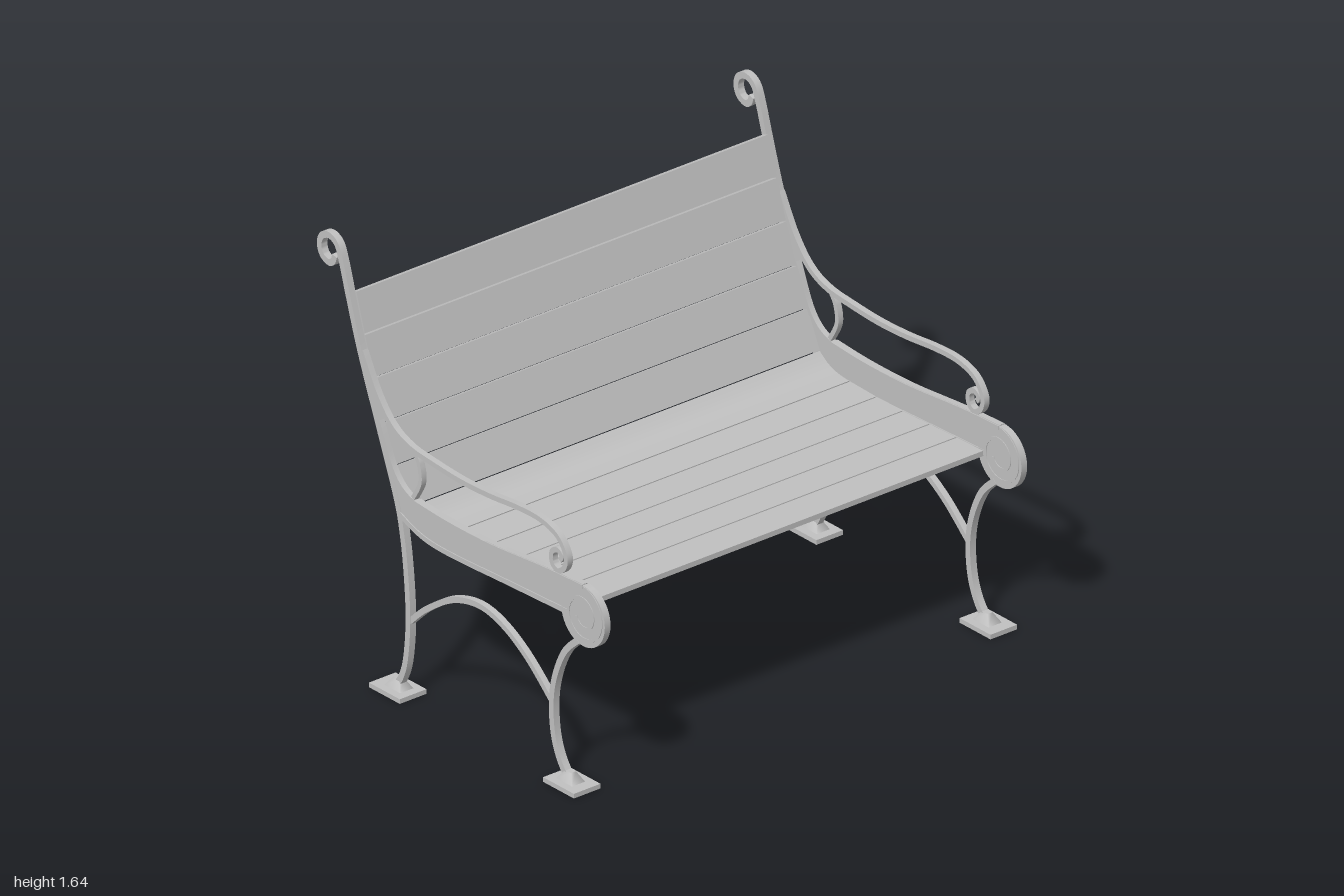
import * as THREE from 'three';
import { toCreasedNormals } from 'three/addons/utils/BufferGeometryUtils.js';

const metal = new THREE.MeshStandardMaterial({ color: 0xc0c0c0 });
metal.name = 'light grey';

const END_Z = 0.938; // middle plane of each end frame

function add(parent, name, geometry) {
  const mesh = new THREE.Mesh(geometry, metal);
  mesh.name = name;
  parent.add(mesh);
  return mesh;
}

function smooth(points, n) {
  return new THREE.SplineCurve(points.map(p => new THREE.Vector2(...p))).getPoints(n);
}

// Extrudes an outline along z, centred on z = 0
function plate(outline, depth) {
  const g = new THREE.ExtrudeGeometry(new THREE.Shape(outline), { depth, bevelEnabled: false });
  g.translate(0, 0, -depth / 2);
  return toCreasedNormals(g, 0.5);
}

// Flat bar of constant width following a path in the xy plane
function bar(path, width, depth) {
  const left = [], right = [];
  path.forEach((p, i) => {
    const a = path[Math.max(i - 1, 0)], b = path[Math.min(i + 1, path.length - 1)];
    const d = b.clone().sub(a).normalize().multiplyScalar(width / 2);
    left.push(new THREE.Vector2(p.x - d.y, p.y + d.x));
    right.push(new THREE.Vector2(p.x + d.y, p.y - d.x));
  });
  return plate([...left, ...right.reverse()], depth);
}

function endFrame() {
  const frame = new THREE.Group();

  // Back post with top scroll, running down into the rear leg
  add(frame, 'backPostAndRearLeg', bar(smooth([
    [-0.682, 1.562], [-0.69, 1.538], [-0.715, 1.525], [-0.75, 1.54], [-0.764, 1.577],
    [-0.75, 1.615], [-0.711, 1.63], [-0.67, 1.608], [-0.642, 1.54], [-0.608, 1.43],
    [-0.545, 1.24], [-0.45, 1.0], [-0.355, 0.76], [-0.32, 0.63], [-0.297, 0.47],
    [-0.287, 0.3], [-0.3, 0.15], [-0.325, 0.07], [-0.36, 0.02]], 110), 0.025, 0.027));

  add(frame, 'frontLeg', bar(smooth([
    [0.625, 0.585], [0.555, 0.515], [0.505, 0.41], [0.483, 0.3], [0.49, 0.18],
    [0.52, 0.09], [0.57, 0.02]], 40), 0.025, 0.027));

  add(frame, 'legArch', bar(smooth([
    [-0.28, 0.302], [-0.19, 0.385], [-0.05, 0.475], [0.09, 0.508], [0.22, 0.48],
    [0.35, 0.405], [0.48, 0.292]], 40), 0.022, 0.024));

  // Arm rest with a curl at the front
  add(frame, 'armRest', bar(smooth([
    [-0.54, 1.25], [-0.465, 1.115], [-0.38, 1.02], [-0.28, 0.975], [-0.15, 0.96],
    [0, 0.952], [0.15, 0.957], [0.3, 0.971], [0.42, 0.971], [0.51, 0.943], [0.557, 0.883],
    [0.55, 0.835], [0.515, 0.81], [0.483, 0.83], [0.483, 0.872], [0.513, 0.89],
    [0.535, 0.872], [0.525, 0.855]], 110), 0.02, 0.024));
  add(frame, 'armBrace', bar(smooth([
    [-0.265, 0.975], [-0.235, 0.93], [-0.226, 0.86], [-0.265, 0.785]], 20), 0.018, 0.022));

  // Solid side panel ending in a round front
  const top = smooth([[-0.52, 1.17], [-0.435, 1.0], [-0.37, 0.86], [-0.3, 0.795],
    [-0.2, 0.775], [0, 0.77], [0.2, 0.778], [0.45, 0.8], [0.65, 0.81]], 50);
  const bottom = smooth([[0.58, 0.665], [0.4, 0.658], [0.2, 0.65], [0, 0.641],
    [-0.15, 0.641], [-0.25, 0.662], [-0.345, 0.72], [-0.41, 0.88], [-0.53, 1.18]], 40);
  add(frame, 'sidePanel', plate([...top, ...bottom], 0.022));

  const disc = new THREE.CylinderGeometry(0.117, 0.117, 0.026, 48);
  disc.rotateX(Math.PI / 2).translate(0.653, 0.69, 0);
  add(frame, 'frontDisc', disc);

  // Raised rims on the panel, and a spiral on the disc
  add(frame, 'topRim', bar(smooth([[-0.25, 0.774], [-0.1, 0.765], [0.05, 0.764],
    [0.2, 0.77], [0.45, 0.792], [0.65, 0.801]], 30), 0.014, 0.03));
  add(frame, 'bottomRim', bar(smooth([[-0.335, 0.7], [-0.25, 0.667], [-0.15, 0.65],
    [0, 0.65], [0.2, 0.659], [0.4, 0.667], [0.58, 0.674]], 30), 0.02, 0.03));
  const spiral = [];
  for (let i = 0; i <= 60; i++) {
    const t = i / 60, a = Math.PI / 2 - t * Math.PI * 3.4, r = 0.11 - 0.075 * t;
    spiral.push(new THREE.Vector2(0.653 + r * Math.cos(a), 0.69 + r * Math.sin(a)));
  }
  add(frame, 'discSpiral', bar(spiral, 0.012, 0.031));

  // Feet: square plates with a small flared collar
  for (const x of [-0.358, 0.577]) {
    add(frame, 'footPlate', new THREE.BoxGeometry(0.166, 0.018, 0.12)).position.set(x, 0.009, 0);
    const collar = new THREE.CylinderGeometry(0.022, 0.06, 0.036, 4, 1);
    collar.rotateY(Math.PI / 4).scale(1, 1, 0.7);
    add(frame, 'footCollar', collar).position.set(x + (x < 0 ? 0.006 : -0.006), 0.036, 0);
  }
  return frame;
}

// Boards between the end frames, one per pair of neighbouring points
function boards(parent, name, points, thickness) {
  const gap = 0.003;
  for (let i = 0; i + 1 < points.length; i++) {
    const a = new THREE.Vector2(...points[i]), b = new THREE.Vector2(...points[i + 1]);
    const d = b.clone().sub(a).normalize().multiplyScalar(gap);
    add(parent, name, bar([a.add(d), b.sub(d)], thickness, 1.854));
  }
}

export function createModel() {
  const bench = new THREE.Group();
  bench.name = 'bench';

  for (const side of [1, -1]) {
    const frame = endFrame();
    frame.name = side > 0 ? 'leftEndFrame' : 'rightEndFrame';
    frame.position.z = side * END_Z;
    if (side < 0) frame.children.forEach(m => { m.position.z *= -1; });
    bench.add(frame);
  }

  // Seat boards; the rearmost one bends up to meet the back
  add(bench, 'rearSeatBoard', bar(smooth([[-0.322, 0.712], [-0.275, 0.68],
    [-0.22, 0.662], [-0.158, 0.656]], 10), 0.02, 1.854));
  boards(bench, 'seatBoard', [[-0.155, 0.656], [-0.01, 0.652], [0.135, 0.655],
    [0.28, 0.661], [0.425, 0.667], [0.57, 0.67]], 0.02);

  boards(bench, 'backBoard', [[-0.325, 0.716], [-0.392, 0.855], [-0.45, 1.0],
    [-0.507, 1.15], [-0.557, 1.3], [-0.604, 1.45]], 0.022);

  return bench;
}
